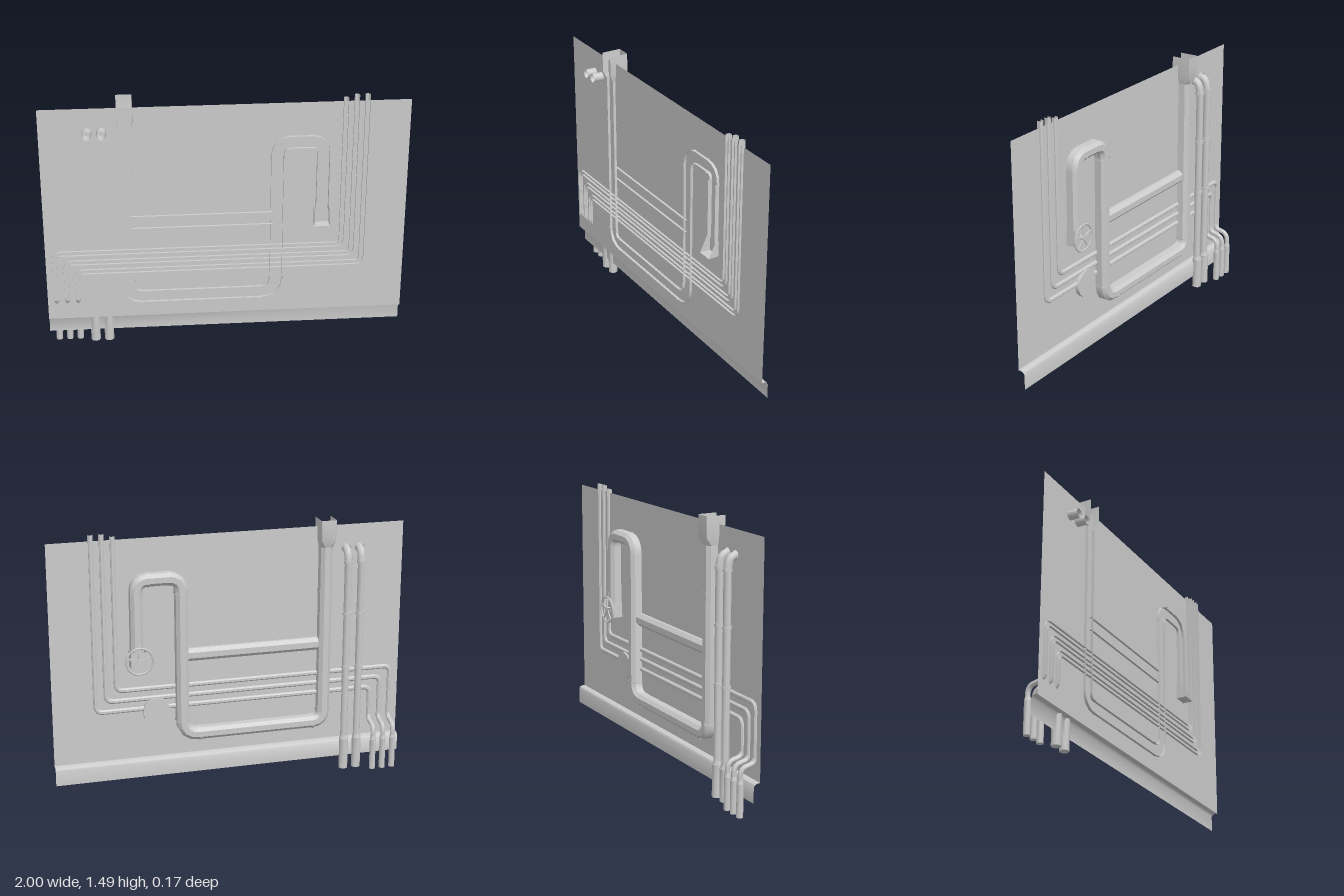
import * as THREE from 'three';
import { toCreasedNormals } from 'three/addons/utils/BufferGeometryUtils.js';

const material = new THREE.MeshStandardMaterial({ color: 0xcccccc, side: THREE.DoubleSide });

// Skin a list of open rings, each an array of [x, y, z]
function loft(rings) {
  const n = rings[0].length, index = [];
  for (let i = 0; i < rings.length - 1; i++) {
    for (let j = 0; j < n - 1; j++) {
      const a = i * n + j, c = a + n;
      index.push(a, a + 1, c, a + 1, c + 1, c);
    }
  }
  const geo = new THREE.BufferGeometry();
  geo.setAttribute('position', new THREE.Float32BufferAttribute(rings.flat(2), 3));
  geo.setIndex(index);
  return toCreasedNormals(geo, 0.6);
}

// Half-octagon channel, open towards the wall: [sideways, z] pairs
function channel(w, zFront, zBack, bevel = 0.55) {
  const b = w * bevel;
  return [[-w, zFront], [-w, zBack + b], [-w + b, zBack], [w - b, zBack], [w, zBack + b], [w, zFront]];
}

// Polyline through [x, y, bendRadius] corners, with three-step bends
function route(corners) {
  const pts = corners.map(([x, y]) => new THREE.Vector2(x, y));
  const out = [];
  pts.forEach((p, i) => {
    const r = corners[i][2];
    if (!r) { out.push(p); return; }
    const toward = (q) => p.clone().add(q.clone().sub(p).setLength(r));
    out.push(...new THREE.QuadraticBezierCurve(toward(pts[i - 1]), p, toward(pts[i + 1])).getPoints(4));
  });
  return out;
}

// Sweep a channel along a flat route with mitred joints
function sweep(path, profile) {
  return loft(path.map((p, i) => {
    const a = p.clone().sub(path[Math.max(i - 1, 0)]).normalize();
    const b = path[Math.min(i + 1, path.length - 1)].clone().sub(p).normalize();
    const t = a.clone().add(b).normalize();
    const k = 1 / Math.max(t.dot(a.lengthSq() ? a : b), 0.5);
    return profile.map(([s, z]) => [p.x - t.y * s * k, p.y + t.x * s * k, z]);
  }));
}

export function createModel() {
  const model = new THREE.Group();
  const add = (name, geo, x = 0, y = 0, z = 0) => {
    const mesh = new THREE.Mesh(geo, material);
    mesh.name = name;
    mesh.position.set(x, y, z);
    model.add(mesh);
    return mesh;
  };
  const smooth = (geo) => toCreasedNormals(geo, 0.9);

  // Wall sheet and the rounded skirting below it
  add('wall', new THREE.PlaneGeometry(2, 1.26), 0, 0.81, 0.025);
  const skirting = [[0.185, 0.025], [0.184, 0.01], [0.178, -0.005], [0.166, -0.012], [0.08, -0.012]];
  add('skirting', loft(skirting.map(([y, z]) => [[-1, y, z], [1, y, z]])));

  // Large channel pipe and its last drop to the valve
  const large = channel(0.034, 0.04, -0.035);
  add('mainPipe', sweep(route([
    [-0.54, 1.34], [-0.54, 0.308, 0.068], [0.28, 0.308, 0.09], [0.28, 1.215, 0.08],
    [0.53, 1.215, 0.065], [0.53, 1.14],
  ]), large));
  add('valvePipe', sweep(route([[0.53, 1.15], [0.53, 0.81]]), channel(0.034, 0.048, -0.035)));

  // Collars at the joints: x, y, horizontal or not
  const collar = channel(0.038, 0.042, -0.039);
  const joints = [
    [-0.54, 1.08, 0], [-0.54, 0.375, 0], [0.28, 0.395, 0], [0.28, 1.13, 0],
    [-0.475, 0.308, 1], [0.185, 0.308, 1], [0.345, 1.215, 1], [0.465, 1.215, 1],
  ];
  for (const [x, y, flat] of joints) {
    const dx = flat ? 0.006 : 0, dy = flat ? 0 : 0.006;
    add('collar', sweep(route([[x - dx, y - dy], [x + dx, y + dy]]), collar));
  }

  // Cross pipe between the two large uprights
  add('crossPipe', sweep(route([[-0.52, 0.768], [0.26, 0.768]]), channel(0.036, 0.038, -0.012)));

  // Square funnel on top of the large pipe
  const ring = (profile, x, y) => profile.map(([s, z]) => [x + s, y, z]);
  const mouth = channel(0.043, 0.06, -0.05, 0.06);
  add('funnel', loft([ring(mouth, -0.54, 1.485), ring(mouth, -0.54, 1.375), ring(large, -0.54, 1.33)]));

  // Valve box with a slanted open front, and its floor
  add('valveBox', loft([
    ring(channel(0.042, 0.045, -0.035, 0.08), 0.528, 0.82),
    ring(channel(0.042, 0.085, -0.035, 0.08), 0.528, 0.73),
  ]));
  add('valveBoxFloor', new THREE.PlaneGeometry(0.084, 0.12).rotateX(Math.PI / 2), 0.528, 0.73, 0.025);

  // Hand wheel
  const wheel = new THREE.Group();
  wheel.name = 'handWheel';
  wheel.position.set(0.526, 0.775, -0.052);
  wheel.add(new THREE.Mesh(new THREE.TorusGeometry(0.074, 0.006, 6, 20), material));
  wheel.add(new THREE.Mesh(smooth(new THREE.CylinderGeometry(0.014, 0.014, 0.03, 8).rotateX(Math.PI / 2).translate(0, 0, 0.01)), material));
  for (let i = 0; i < 5; i++) {
    const spoke = new THREE.Mesh(new THREE.BoxGeometry(0.01, 0.074, 0.006).translate(0, 0.037, 0), material);
    spoke.rotation.z = (i * Math.PI * 2) / 5;
    wheel.add(spoke);
  }
  model.add(wheel);

  // Round cover plate over the thin pipes
  add('coverPlate', smooth(new THREE.CylinderGeometry(0.077, 0.077, 0.024, 12).rotateX(Math.PI / 2)), 0.425, 0.457, 0.013);

  // Three nested thin pipes, each ending in an offset bend and a thick sleeve
  for (let i = 0; i < 3; i++) {
    const x0 = -0.95 + i * 0.06, x1 = 0.645 + i * 0.058, y = 0.59 - i * 0.058;
    add('thinPipe', sweep(route([
      [x1, i ? 1.475 : 1.46], [x1, y, 0.04], [x0, y, 0.04], [x0, 0.285],
    ]), channel(0.013, 0.038, 0.012)));
    const bend = new THREE.CatmullRomCurve3([
      [0.305, 0.026], [0.278, 0.012], [0.268, -0.02], [0.26, -0.045], [0.235, -0.061], [0.19, -0.062],
    ].map(([h, z]) => new THREE.Vector3(x0, h, z)));
    add('thinPipeBend', smooth(new THREE.TubeGeometry(bend, 10, 0.014, 8)));
    add('thinPipeSleeve', smooth(new THREE.CylinderGeometry(0.0185, 0.0185, 0.18, 8)), x0, 0.09, -0.062);
    add('thinPipeNeck', smooth(new THREE.CylinderGeometry(0.014, 0.0185, 0.022, 8)), x0, 0.191, -0.062);
  }

  // Two round side pipes that turn through the wall at the top
  for (const x of [-0.742, -0.665]) {
    const elbow = new THREE.CatmullRomCurve3([
      [1.307, 0.03], [1.305, 0.01], [1.285, -0.012], [1.24, -0.022],
    ].map(([h, z]) => new THREE.Vector3(x, h, z)));
    add('wallStub', smooth(new THREE.CylinderGeometry(0.026, 0.026, 0.075, 8, 1, true).rotateX(Math.PI / 2)), x, 1.307, 0.0475);
    add('sidePipeElbow', smooth(new THREE.TubeGeometry(elbow, 6, 0.023, 8)));
    add('sidePipe', smooth(new THREE.CylinderGeometry(0.021, 0.021, 1.05, 8)), x, 0.72, -0.022);
    add('sidePipeSleeve', smooth(new THREE.CylinderGeometry(0.027, 0.027, 0.18, 8)), x, 0.1, -0.024);
    add('sidePipeNeck', smooth(new THREE.CylinderGeometry(0.021, 0.027, 0.025, 8)), x, 0.2, -0.023);
    for (const y of [1.235, 0.94, 0.625]) {
      add('sidePipeCollar', smooth(new THREE.CylinderGeometry(0.026, 0.026, 0.014, 8)), x, y, -0.022);
    }
  }
  return model;
}
